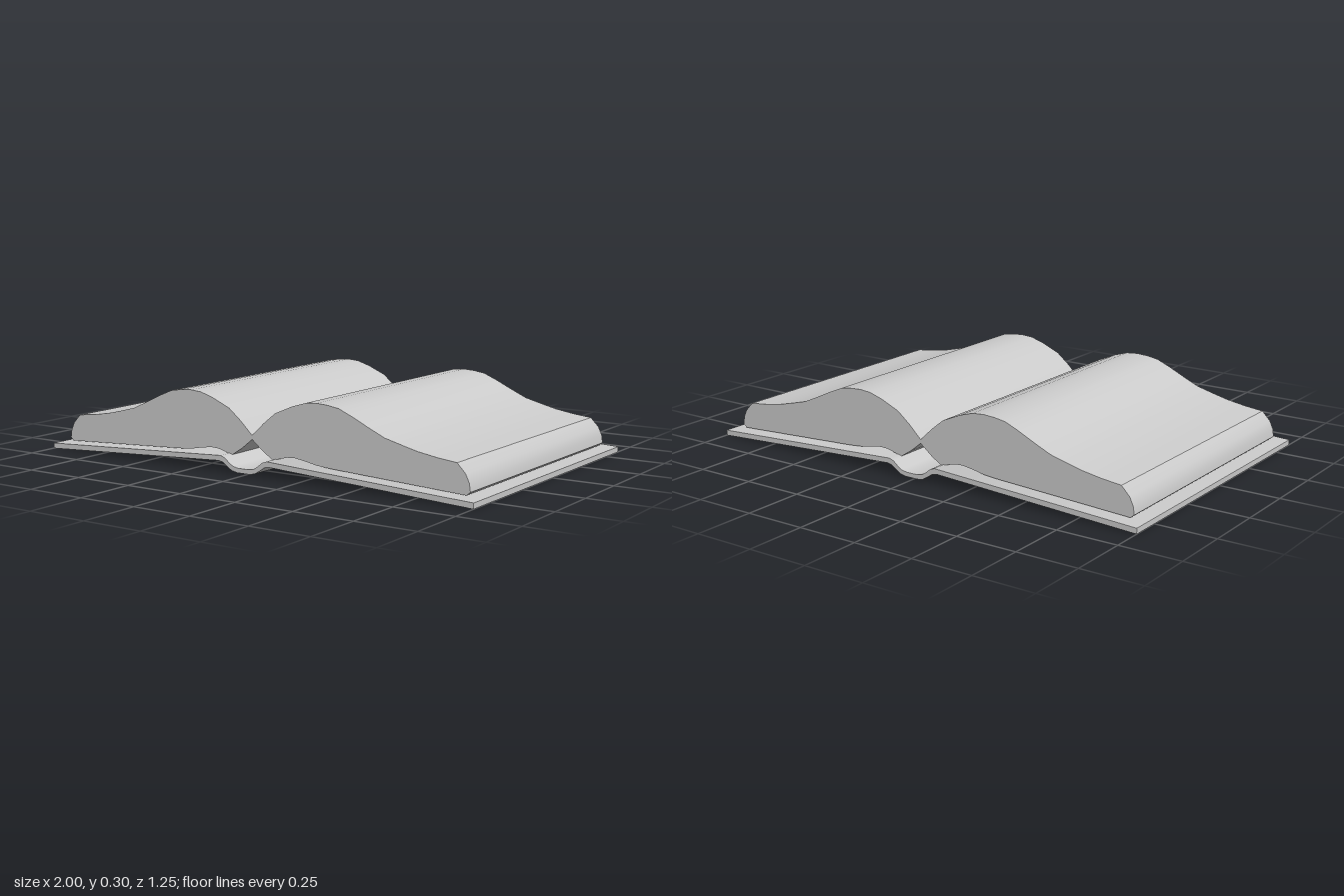
import * as THREE from 'three';
import { toCreasedNormals } from 'three/addons/utils/BufferGeometryUtils.js';

const material = new THREE.MeshStandardMaterial({ color: 0xcccccc });

// Extrude a closed front outline along z, centred on z = 0
function slab(name, outline, depth) {
  const shape = new THREE.Shape(outline.map(([x, y]) => new THREE.Vector2(x, y)));
  const geometry = new THREE.ExtrudeGeometry(shape, { depth, bevelEnabled: false });
  geometry.translate(0, 0, -depth / 2);
  const mesh = new THREE.Mesh(toCreasedNormals(geometry, 0.6), material);
  mesh.name = name;
  return mesh;
}

const mirror = (points) => points.map(([x, y]) => [-x, y]).reverse();

export function createModel() {
  const book = new THREE.Group();
  book.name = 'openBook';

  // Cover: two sloping boards joined by a sagging spine
  const under = [[0.03, 0.008], [0.055, 0.013], [0.08, 0.028], [0.1, 0.042], [0.12, 0.046], [1, 0]];
  const over = [[0.025, 0.026], [0.05, 0.031], [0.07, 0.044], [0.09, 0.06], [0.11, 0.067], [1, 0.022]];
  const cover = [...mirror(under), ...under, ...[...over].reverse(), ...mirror(over).reverse()];
  book.add(slab('cover', cover, 1.246));

  // Page block: arched top, curved fore edge, underside lifted near the spine
  const pages = [
    [0, 0.132], [0.05, 0.092], [0.1, 0.06], [0.13, 0.07], [0.165, 0.079], [0.2, 0.081],
    [0.25, 0.074], [0.3, 0.064], [0.36, 0.059], [0.6, 0.047], [0.94, 0.03], [0.955, 0.043],
    [0.95, 0.075], [0.935, 0.107], [0.9, 0.143], [0.82, 0.152], [0.74, 0.165], [0.67, 0.182],
    [0.6, 0.2], [0.53, 0.231], [0.46, 0.264], [0.4, 0.289], [0.35, 0.297], [0.3, 0.3],
    [0.25, 0.296], [0.19, 0.278], [0.11, 0.244], [0.055, 0.2], [0, 0.148],
  ];
  book.add(slab('leftPages', pages, 1.13));
  book.add(slab('rightPages', mirror(pages), 1.13));

  return book;
}
